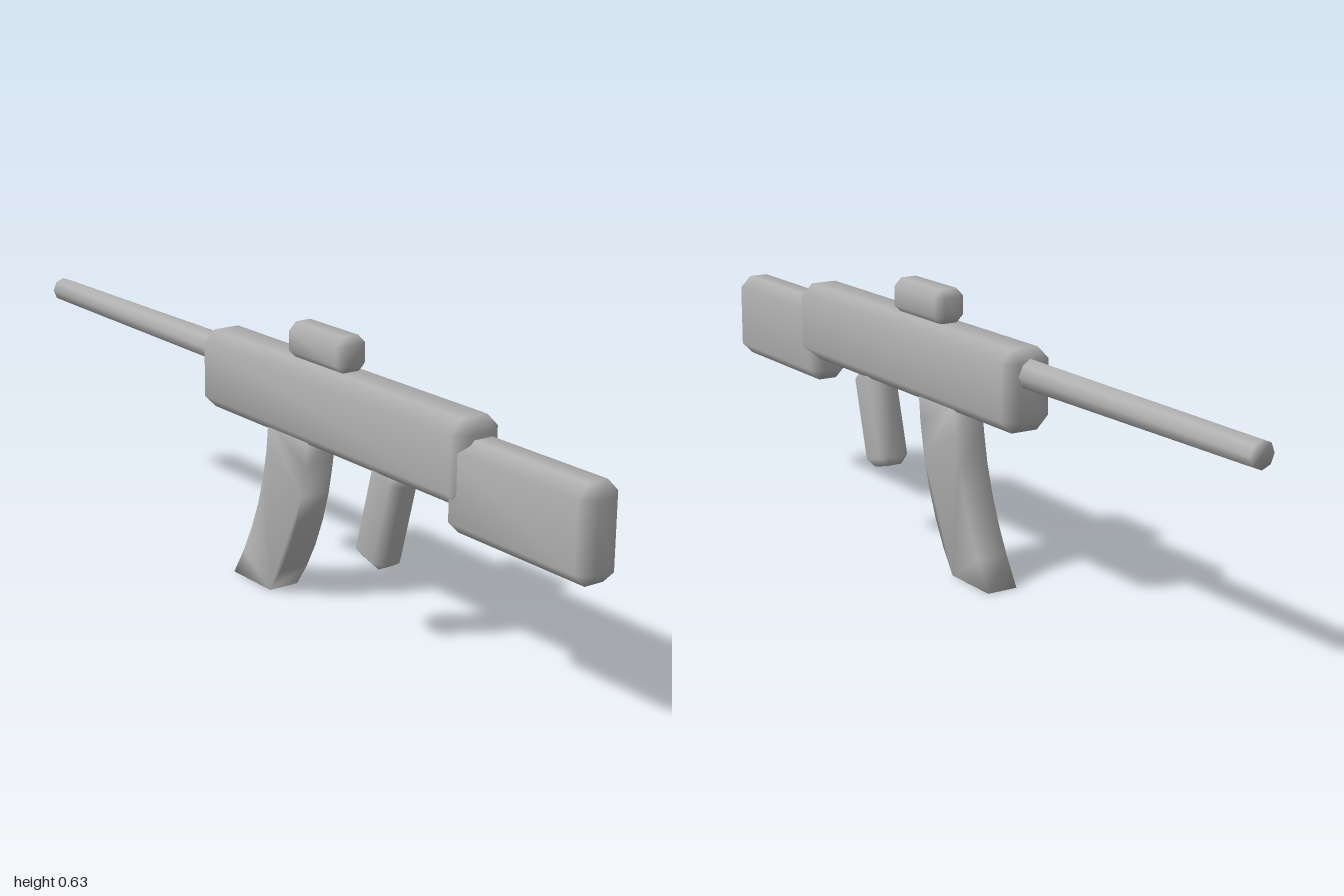
import * as THREE from 'three';
import { mergeVertices } from 'three/addons/utils/BufferGeometryUtils.js';
import { ConvexGeometry } from 'three/addons/geometries/ConvexGeometry.js';

// Share vertices so the shading rolls softly over every edge
function smooth(geometry) {
  geometry.deleteAttribute('normal');
  if (geometry.attributes.uv) geometry.deleteAttribute('uv');
  const merged = mergeVertices(geometry, 1e-4);
  merged.computeVertexNormals();
  return merged;
}

// Box with chamfered edges and clipped corners
function chamferBox(w, h, d, c) {
  const points = [];
  for (const x of [-1, 1]) for (const y of [-1, 1]) for (const z of [-1, 1]) {
    for (let axis = 0; axis < 3; axis++) {
      const half = [w / 2, h / 2, d / 2].map((s, i) => (i === axis ? s : s - c));
      points.push(new THREE.Vector3(x * half[0], y * half[1], z * half[2]));
    }
  }
  return smooth(new ConvexGeometry(points));
}

export function createModel() {
  const model = new THREE.Group();
  model.name = 'toyRifle';
  const grey = new THREE.MeshStandardMaterial({ color: 0xb0b0b0 });
  grey.name = 'grey';

  const add = (name, geometry, y = 0, z = 0) => {
    const mesh = new THREE.Mesh(geometry, grey);
    mesh.name = name;
    mesh.position.set(0, y, z);
    model.add(mesh);
    return mesh;
  };

  // Body, stock and sight
  add('receiver', chamferBox(0.12, 0.18, 0.925, 0.028), 0.468, 0.19);
  add('stock', chamferBox(0.1, 0.2, 0.415, 0.027), 0.42, 0.7925);
  add('sight', chamferBox(0.074, 0.08, 0.206, 0.018), 0.595, 0.139);

  // Slanted grip
  const grip = add('grip', chamferBox(0.076, 0.232, 0.1, 0.02), 0.28, 0.353);
  grip.rotation.x = 0.268;

  // Slightly tapered barrel, narrow end at the muzzle
  const barrel = new THREE.CylinderGeometry(0.034, 0.029, 0.76, 8);
  barrel.rotateX(Math.PI / 2);
  add('barrel', smooth(barrel), 0.505, -0.62);

  // Curved magazine: side profile in (z, y), extruded across the width
  const rear = new THREE.CubicBezierCurve(
    new THREE.Vector2(0.122, 0.4), new THREE.Vector2(0.115, 0.25),
    new THREE.Vector2(0.06, 0.1), new THREE.Vector2(-0.02, 0));
  const front = new THREE.CubicBezierCurve(
    new THREE.Vector2(-0.165, 0), new THREE.Vector2(-0.08, 0.13),
    new THREE.Vector2(-0.035, 0.25), new THREE.Vector2(-0.025, 0.4));
  const profile = new THREE.Shape([...rear.getPoints(6), ...front.getPoints(6)]);
  const magazine = new THREE.ExtrudeGeometry(profile, { depth: 0.074, bevelEnabled: false });
  magazine.translate(0, 0, -0.037);
  magazine.rotateY(-Math.PI / 2);
  add('magazine', smooth(magazine));

  return model;
}
